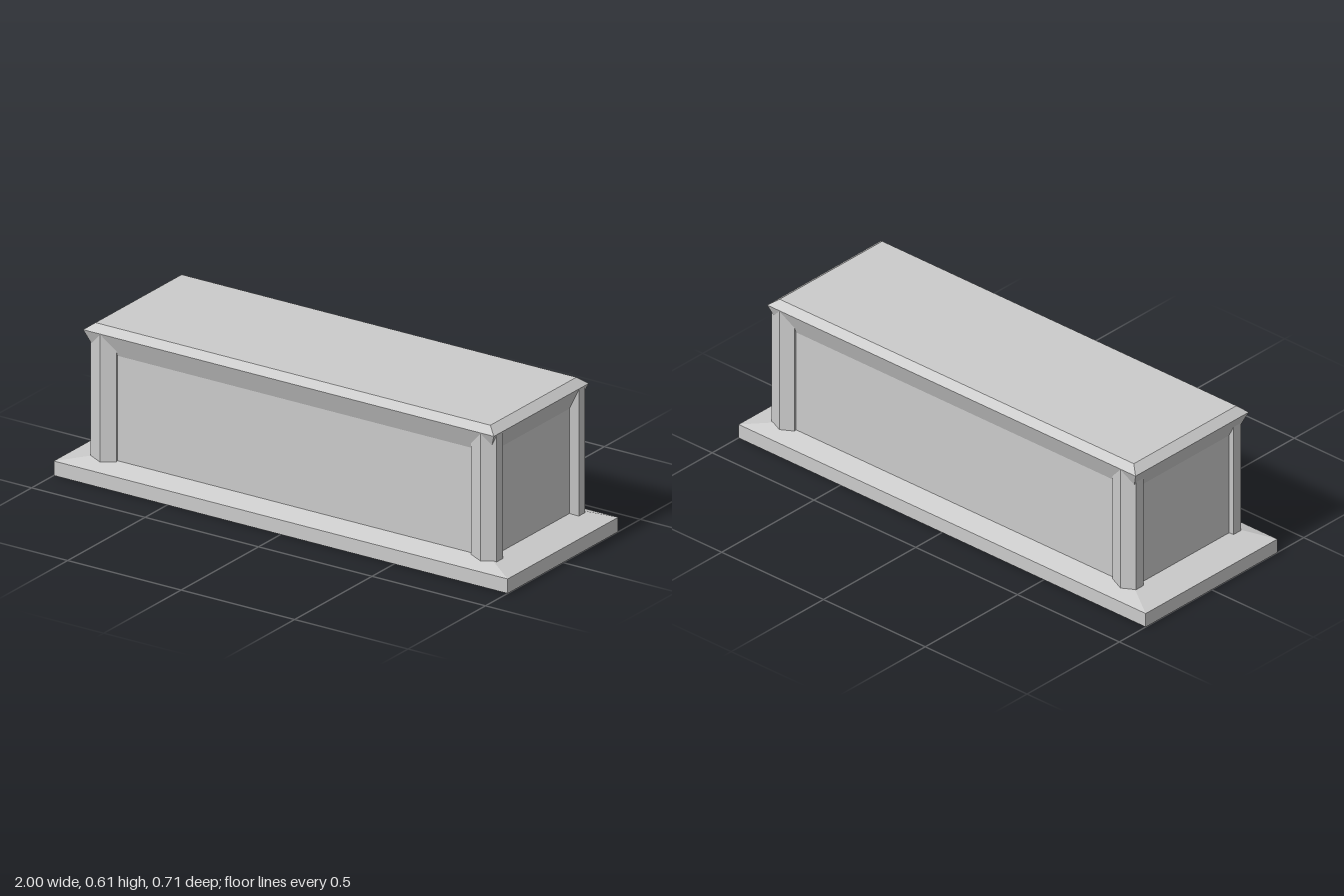
import * as THREE from 'three';

const material = new THREE.MeshStandardMaterial({ color: 0xcccccc, flatShading: true, side: THREE.DoubleSide });

// Lofts rectangular rings [halfX, y, halfZ] from bottom to top, optionally closing the top
function rectLoft(name, rings, closeTop = false) {
  const pos = [];
  const corner = ([hx, y, hz], i) => {
    const [sx, sz] = [[-1, 1], [1, 1], [1, -1], [-1, -1]][i % 4];
    return [sx * hx, y, sz * hz];
  };
  const quad = (a, b, c, d) => pos.push(...a, ...b, ...c, ...a, ...c, ...d);
  for (let r = 0; r < rings.length - 1; r++) {
    for (let i = 0; i < 4; i++) {
      quad(corner(rings[r], i), corner(rings[r], i + 1), corner(rings[r + 1], i + 1), corner(rings[r + 1], i));
    }
  }
  if (closeTop) {
    const top = rings[rings.length - 1];
    quad(corner(top, 0), corner(top, 1), corner(top, 2), corner(top, 3));
  }
  const geometry = new THREE.BufferGeometry();
  geometry.setAttribute('position', new THREE.Float32BufferAttribute(pos, 3));
  geometry.computeVertexNormals();
  const mesh = new THREE.Mesh(geometry, material);
  mesh.name = name;
  return mesh;
}

export function createModel() {
  const group = new THREE.Group();
  group.name = 'stoneTomb';

  const wallX = 0.87, wallZ = 0.278;

  // Hollow plinth with a sloped upper face
  group.add(rectLoft('plinth', [[1, 0, 0.357], [1, 0.057, 0.357], [wallX, 0.084, wallZ]]));

  // Straight chest walls
  group.add(rectLoft('walls', [[wallX, 0.084, wallZ], [wallX, 0.497, wallZ]]));

  // Lid: flared underside, bevelled rim and flat top
  group.add(rectLoft('lid', [[wallX, 0.497, wallZ], [0.905, 0.579, 0.307], [wallX, 0.605, wallZ]], true));

  // Stretched hexagonal corner posts, running down inside the plinth
  const height = 0.578;
  const postGeometry = new THREE.CylinderGeometry(0.041, 0.041, height, 6);
  postGeometry.scale(1.6, 1, 1);
  for (const x of [-0.83, 0.846]) {
    for (const z of [-0.265, 0.265]) {
      const post = new THREE.Mesh(postGeometry, material);
      post.name = 'cornerPost';
      post.position.set(x, height / 2, z);
      group.add(post);
    }
  }
  return group;
}
